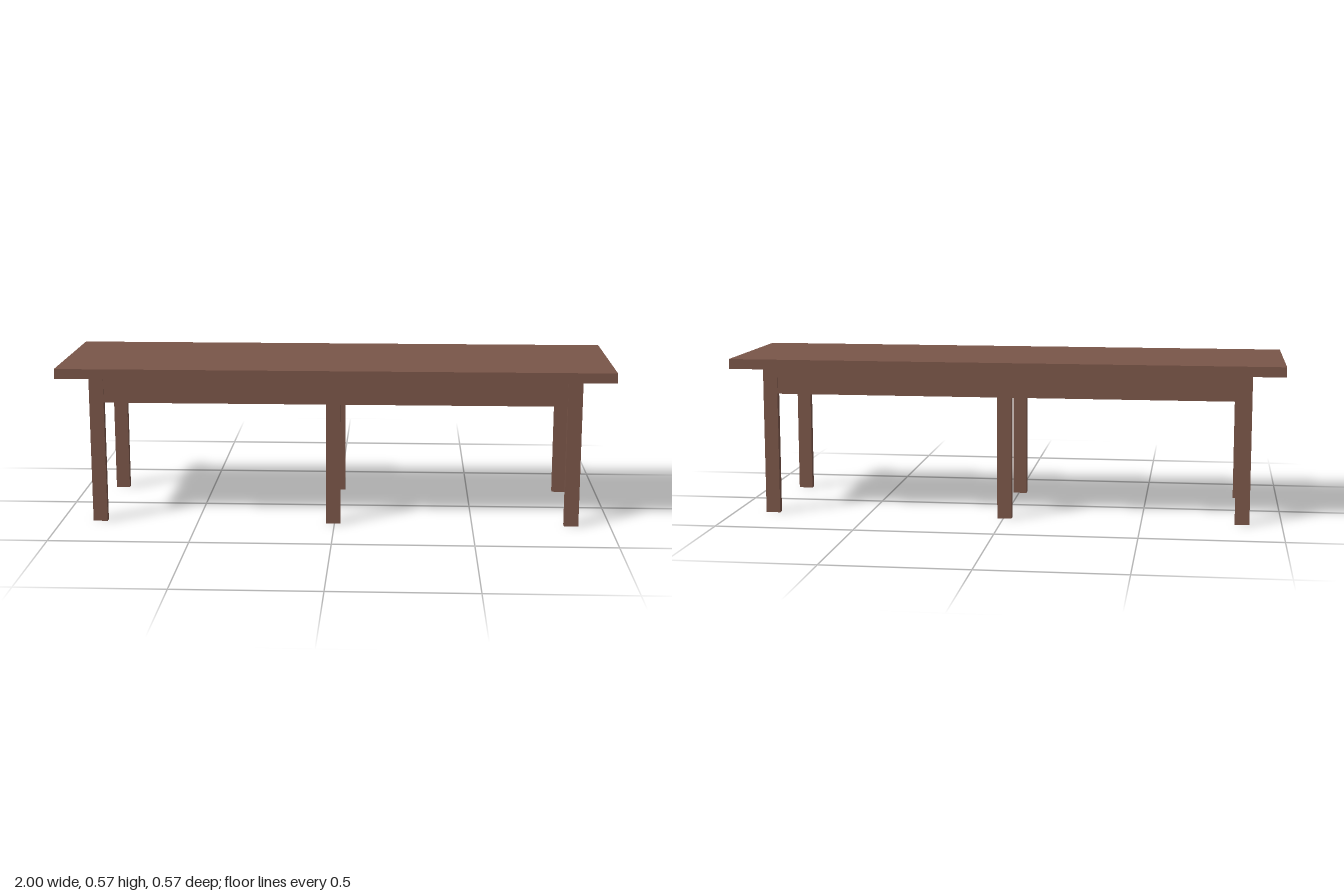
import * as THREE from 'three';

export function createModel() {
  const group = new THREE.Group();
  const wood = new THREE.MeshStandardMaterial({ color: 0x795548 });
  wood.name = 'brown wood';

  // Box from its size, bottom height and centre
  const addBox = (name, w, h, d, x, y, z) => {
    const mesh = new THREE.Mesh(new THREE.BoxGeometry(w, h, d), wood);
    mesh.name = name;
    mesh.position.set(x, y + h / 2, z);
    group.add(mesh);
  };

  // Overhanging top and the solid apron block beneath it
  addBox('tableTop', 2, 0.036, 0.573, 0, 0.537, 0);
  addBox('apron', 1.764, 0.094, 0.488, 0, 0.443, 0.001);

  // Three flat legs along each long side, standing slightly proud of the apron
  const columns = [['left', 0.859], ['middle', -0.004], ['right', -0.859]];
  const rows = [['Front', 0.2365], ['Back', -0.2345]];
  for (const [side, x] of columns) {
    for (const [end, z] of rows) {
      addBox(`${side}${end}Leg`, 0.052, 0.537, 0.024, x, 0, z);
    }
  }
  return group;
}
